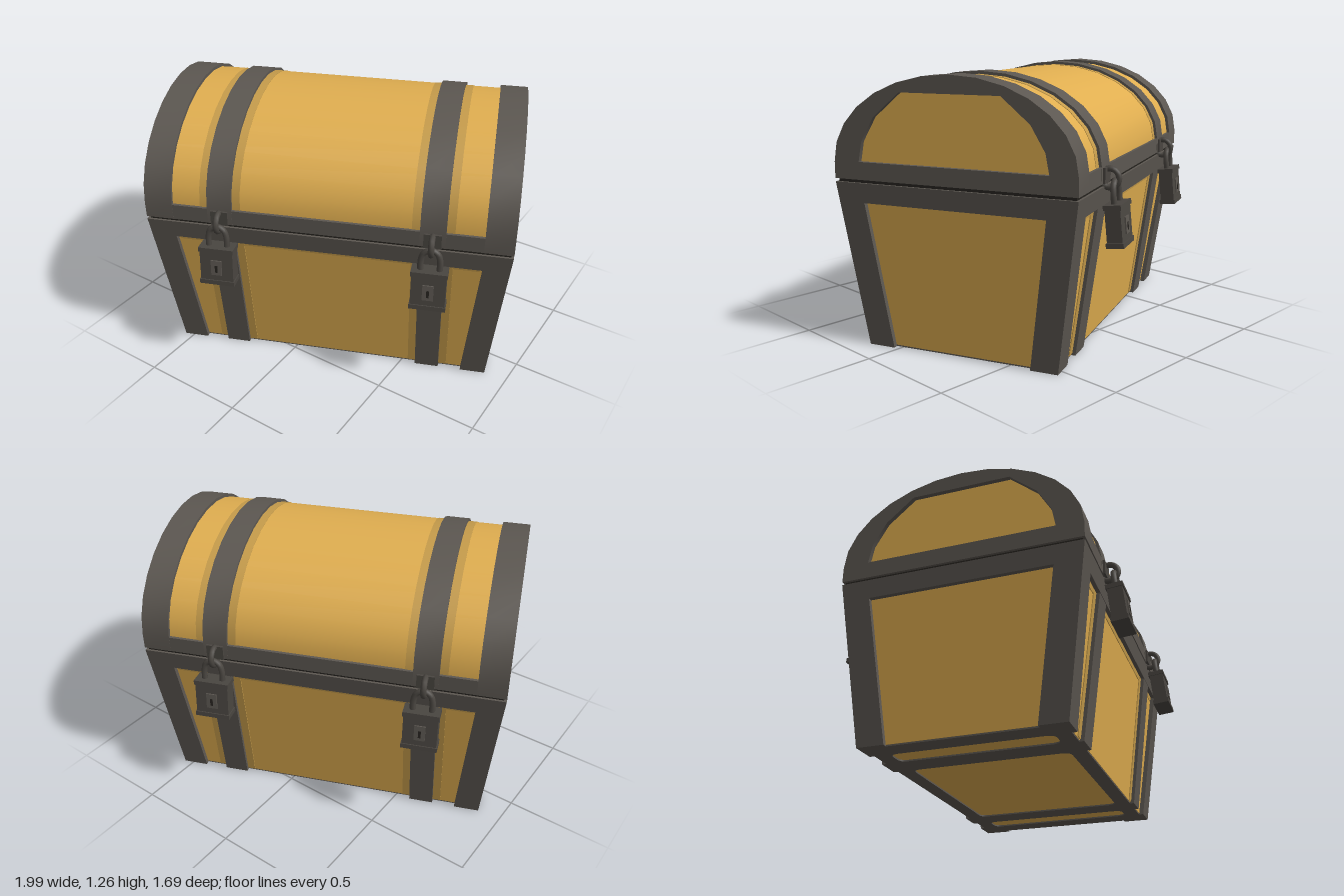
import * as THREE from 'three';
import { toCreasedNormals } from 'three/addons/utils/BufferGeometryUtils.js';

const material = (name, color) => {
  const m = new THREE.MeshStandardMaterial({ color });
  m.name = name;
  return m;
};

const HALF_LENGTH = 0.84, HALF_WIDTH = 0.572, SEAM = 0.785, LID_BASE = 0.865, TOP = 1.26;
const STRAP_X = 0.485, STRAP_HALF = 0.0575;

// The tapered base: half sizes at height y
const halfX = (y) => 0.772 + 0.068 * Math.min(1, y / 0.78);
const halfZ = (y) => 0.465 + 0.107 * Math.min(1, y / 0.78);

// A box whose x and z limits are functions of height
function tapered(y0, y1, xRange, zRange) {
  const g = new THREE.BoxGeometry(1, 1, 1);
  const p = g.attributes.position;
  for (let i = 0; i < p.count; i++) {
    const y = THREE.MathUtils.lerp(y0, y1, p.getY(i) + 0.5);
    const [xa, xb] = xRange(y), [za, zb] = zRange(y);
    p.setXYZ(i, p.getX(i) < 0 ? xa : xb, y, p.getZ(i) < 0 ? za : zb);
  }
  g.computeVertexNormals();
  return g;
}
const across = (inset) => (y) => [-halfZ(y) + inset, halfZ(y) - inset];
const along = (inset) => (y) => [-halfX(y) + inset, halfX(y) - inset];

// Lid cross-section (z, y), extruded along x
function archShape(inset) {
  const w = HALF_WIDTH - inset, h = TOP - LID_BASE - inset, n = 14;
  const pts = [new THREE.Vector2(-w, SEAM + 0.005), new THREE.Vector2(w, SEAM + 0.005)];
  for (let i = 0; i <= n; i++) {
    const a = (Math.PI * i) / n;
    pts.push(new THREE.Vector2(w * Math.cos(a), LID_BASE + h * Math.sin(a)));
  }
  return new THREE.Shape(pts);
}
function arch(x0, x1, inset, hole) {
  const shape = archShape(inset);
  if (hole) shape.holes.push(hole);
  const g = new THREE.ExtrudeGeometry(shape, { depth: x1 - x0, bevelEnabled: false });
  g.rotateY(Math.PI / 2).translate(x0, 0, 0);
  return toCreasedNormals(g, 0.6);
}

// Opening in the lid end bands
function endOpening() {
  const half = [[0.447, 0.87], [0.43, 0.96], [0.365, 1.07], [0.235, 1.18]];
  const all = [...half, ...half.slice().reverse().map(([z, y]) => [-z, y])];
  return new THREE.Path(all.map(([z, y]) => new THREE.Vector2(z, y)));
}

function roundedHole(x0, x1, z, r) {
  const p = new THREE.Path();
  p.moveTo(x0 + r, -z).lineTo(x1 - r, -z).quadraticCurveTo(x1, -z, x1, -z + r);
  p.lineTo(x1, z - r).quadraticCurveTo(x1, z, x1 - r, z);
  p.lineTo(x0 + r, z).quadraticCurveTo(x0, z, x0, z - r);
  p.lineTo(x0, -z + r).quadraticCurveTo(x0, -z, x0 + r, -z);
  return p;
}

export function createModel() {
  const wood = material('golden wood', 0xe0ae50);
  const shade = material('dark golden wood', 0xc69c4b);
  const iron = material('iron', 0x5c5751);
  const lockIron = material('lock iron', 0x4a4641);
  const black = material('black', 0x26231f);

  const root = new THREE.Group();
  root.name = 'chest';
  const chest = new THREE.Group();
  chest.name = 'turnedChest';
  chest.rotation.y = THREE.MathUtils.degToRad(22);
  root.add(chest);
  const add = (parent, name, geometry, mat, x = 0, y = 0, z = 0) => {
    const m = new THREE.Mesh(geometry, mat);
    m.name = name;
    m.position.set(x, y, z);
    parent.add(m);
    return m;
  };

  // Base
  add(chest, 'basePanels', tapered(0.007, 0.74, along(0.022), across(0.022)), wood);
  add(chest, 'panelTopEdge', tapered(0.66, 0.69, () => [-0.7, 0.7], across(0.019)), shade);
  add(chest, 'baseRim', tapered(0.685, 0.775, along(0), across(0)), iron);
  for (const sx of [-1, 1]) {
    for (const sz of [-1, 1]) {
      const range = (half, w, s) => (y) => (s > 0 ? [half(y) - w, half(y)] : [-half(y), w - half(y)]);
      add(chest, 'cornerPost', tapered(0, 0.69, range(halfX, 0.12, sx), range(halfZ, 0.128, sz)), iron);
    }
    const span = (half) => () => [sx * STRAP_X - half, sx * STRAP_X + half];
    add(chest, 'baseStrapEdge', tapered(0.01, 0.69, span(0.095), across(0.018)), shade);
    add(chest, 'baseStrap', tapered(0, 0.69, span(STRAP_HALF), across(0.002)), iron);
  }

  // Underside frame with three openings
  const frame = new THREE.Shape([[-1, -1], [1, -1], [1, 1], [-1, 1]]
    .map(([x, z]) => new THREE.Vector2(x * 0.749, z * 0.442)));
  frame.holes.push(roundedHole(-0.425, 0.425, 0.37, 0.04),
    roundedHole(0.545, 0.65, 0.37, 0.04), roundedHole(-0.65, -0.545, 0.37, 0.04));
  const frameGeometry = new THREE.ExtrudeGeometry(frame, { depth: 0.008, bevelEnabled: false });
  add(chest, 'undersideFrame', frameGeometry.rotateX(-Math.PI / 2), iron);

  // Seam between base and lid
  add(chest, 'seam', new THREE.BoxGeometry(1.655, 0.03, 1.12), black, 0, SEAM - 0.003);

  // Lid
  add(chest, 'lidPanels', arch(-0.818, 0.818, 0.015), wood);
  add(chest, 'lidRim', new THREE.BoxGeometry(1.678, LID_BASE - SEAM - 0.005, 1.142), iron,
    0, (LID_BASE + SEAM + 0.005) / 2);
  for (const s of [-1, 1]) {
    const x = s * STRAP_X, e = s * (HALF_LENGTH - 0.065);
    add(chest, 'lidStrapEdge', arch(x - 0.095, x + 0.095, 0.013), shade);
    add(chest, 'lidStrap', arch(x - STRAP_HALF, x + STRAP_HALF, 0), iron);
    add(chest, 'lidEndBand', arch(e - 0.065, e + 0.065, 0, endOpening()), iron);
  }

  // Padlocks, two on each long side
  for (const side of [0, Math.PI]) {
    const row = new THREE.Group();
    row.name = side ? 'backLocks' : 'frontLocks';
    row.rotation.y = side;
    chest.add(row);
    for (const x of [-STRAP_X, STRAP_X]) {
      const staple = add(row, 'staple', new THREE.TorusGeometry(0.042, 0.014, 8, 20), lockIron, x, 0.812, 0.59);
      staple.rotation.y = Math.PI / 2;
      add(row, 'hasp', new THREE.BoxGeometry(0.08, 0.07, 0.02), lockIron, x, 0.825, 0.572);
      const lock = new THREE.Group();
      lock.name = 'padlock';
      lock.position.set(x, 0.615, 0.634);
      lock.rotation.x = -0.1;
      row.add(lock);
      add(lock, 'lockBody', new THREE.BoxGeometry(0.155, 0.18, 0.07), lockIron);
      for (const y of [-0.083, 0.083])
        add(lock, 'lockBand', new THREE.BoxGeometry(0.164, 0.022, 0.08), lockIron, 0, y);
      const bow = new THREE.CatmullRomCurve3([[-0.042, 0.08], [-0.042, 0.14], [-0.03, 0.175],
        [0, 0.19], [0.03, 0.175], [0.042, 0.14], [0.042, 0.08]]
        .map(([u, v]) => new THREE.Vector3(u, v, 0)));
      add(lock, 'shackle', new THREE.TubeGeometry(bow, 24, 0.014, 8), lockIron);
      add(lock, 'keyPlate', new THREE.BoxGeometry(0.05, 0.075, 0.008), iron, 0, -0.005, 0.037);
      add(lock, 'keyhole', new THREE.BoxGeometry(0.012, 0.035, 0.008), black, 0, -0.01, 0.039);
    }
  }
  return root;
}
